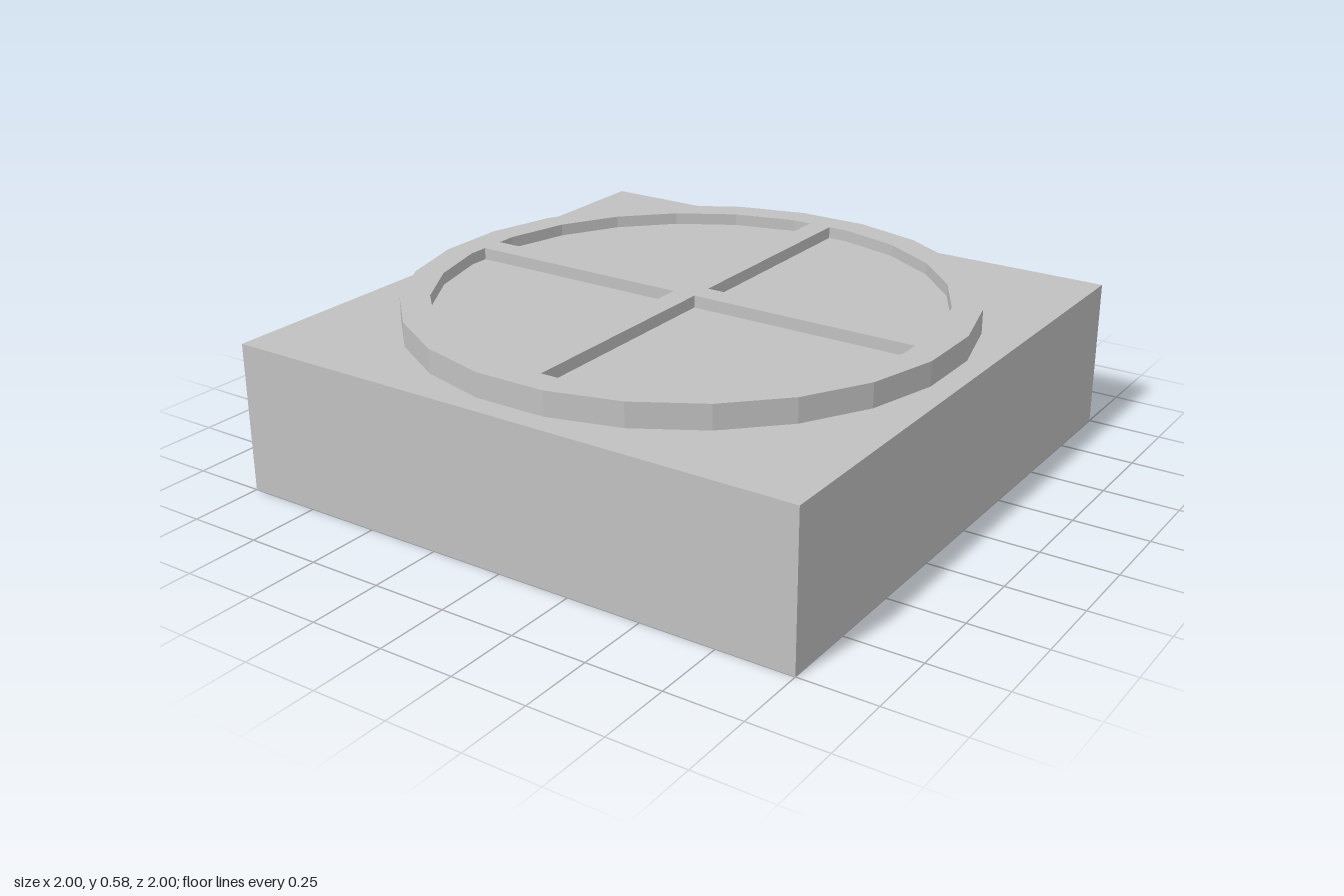
import * as THREE from 'three';

const SIDES = 24;
const OUTER = 0.93, INNER = 0.833; // corner radii of the rim
const BAR = 0.04;                  // half width of a cross bar
const BASE_TOP = 0.5, FLOOR = 0.54, TOP = 0.58;

// Corners of a regular polygon with flat sides facing the axes
function ring(radius) {
  return Array.from({ length: SIDES }, (_, i) => {
    const a = ((i + 0.5) / SIDES) * Math.PI * 2;
    return new THREE.Vector2(Math.cos(a) * radius, Math.sin(a) * radius);
  });
}

// Opening for one quadrant: the inner polygon cut off by the two bars
function quadrant(sx, sy) {
  const arc = ring(INNER).slice(0, SIDES / 4);
  const edge = INNER * Math.cos(Math.PI / SIDES);
  const pts = [
    new THREE.Vector2(BAR, BAR),
    new THREE.Vector2(edge, BAR),
    ...arc,
    new THREE.Vector2(BAR, edge),
  ];
  return new THREE.Path(pts.map((p) => new THREE.Vector2(p.x * sx, p.y * sy)));
}

export function createModel() {
  const model = new THREE.Group();
  model.name = 'blockWithCrossedRing';
  const grey = new THREE.MeshStandardMaterial({ color: 0xc0c0c0, flatShading: true });
  grey.name = 'plainGrey';

  const add = (name, geometry, y) => {
    const mesh = new THREE.Mesh(geometry, grey);
    mesh.name = name;
    mesh.position.y = y;
    model.add(mesh);
  };

  // Square block
  add('base', new THREE.BoxGeometry(2, BASE_TOP, 2), BASE_TOP / 2);

  // Raised floor inside the rim, tucked under the rim's solid part
  const floorShape = new THREE.Shape(ring((OUTER + INNER) / 2));
  const floor = new THREE.ExtrudeGeometry(floorShape, { depth: FLOOR - BASE_TOP, bevelEnabled: false });
  add('recessedFloor', floor.rotateX(-Math.PI / 2), BASE_TOP);

  // Rim and crossed bars in one piece, with four openings
  const rimShape = new THREE.Shape(ring(OUTER));
  for (const sx of [1, -1]) for (const sy of [1, -1]) rimShape.holes.push(quadrant(sx, sy));
  const rim = new THREE.ExtrudeGeometry(rimShape, { depth: TOP - BASE_TOP, bevelEnabled: false });
  add('rimAndCrossBars', rim.rotateX(-Math.PI / 2), BASE_TOP);

  return model;
}
